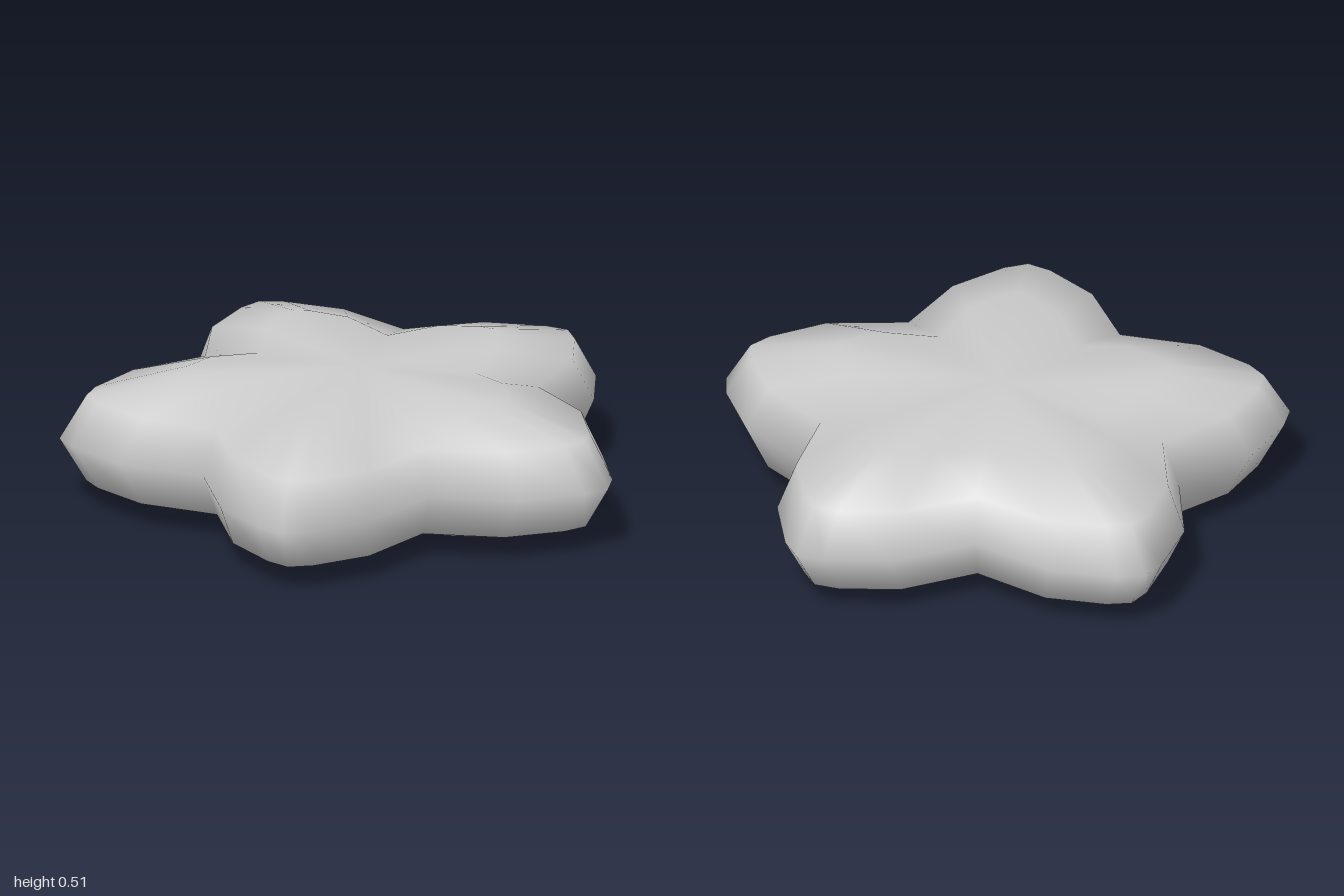
import * as THREE from 'three';

const CENTER_X = -0.095, MID_Y = 0.26, ARMS = 5;

// One arm of the outline: angle from the arm's axis (degrees) and radius
const ARM = [[-17.7, 0.895], [-5.1, 1.014], [0, 1.05], [5.1, 1.014], [17.7, 0.895], [36, 0.7]];

// Rings from top to bottom: outline scale, height off the mid plane at tips and at notches
const RINGS = [
  [0.59, 0.242, 0.215],
  [0.91, 0.16, 0.158],
  [1, 0, 0],
  [0.91, -0.16, -0.158],
  [0.59, -0.242, -0.215],
];

function starCushionGeometry() {
  const pos = [], index = [], n = ARMS * ARM.length;

  for (const [scale, tipY, notchY] of RINGS) {
    for (let arm = 0; arm < ARMS; arm++) {
      for (const [deg, r] of ARM) {
        const a = THREE.MathUtils.degToRad(arm * 360 / ARMS + deg);
        const t = Math.min(1, (r - 0.7) / 0.25);
        pos.push(
          CENTER_X + Math.cos(a) * r * scale,
          MID_Y + THREE.MathUtils.lerp(notchY, tipY, t),
          Math.sin(a) * r * scale);
      }
    }
  }

  // Centre points of the top and the underside
  const top = pos.length / 3, bottom = top + 1;
  pos.push(CENTER_X, MID_Y + 0.254, 0, CENTER_X, MID_Y - 0.254, 0);

  const last = (RINGS.length - 1) * n;
  for (let i = 0; i < n; i++) {
    const j = (i + 1) % n;
    index.push(top, j, i, bottom, last + i, last + j);
    for (let k = 0; k < last; k += n) {
      index.push(k + i, k + j, k + n + i, k + j, k + n + j, k + n + i);
    }
  }

  const geo = new THREE.BufferGeometry();
  geo.setAttribute('position', new THREE.Float32BufferAttribute(pos, 3));
  geo.setIndex(index);
  geo.computeVertexNormals();
  return geo;
}

export function createModel() {
  const group = new THREE.Group();
  group.name = 'star';
  const body = new THREE.Mesh(
    starCushionGeometry(),
    new THREE.MeshStandardMaterial({ color: 0xcccccc }));
  body.name = 'starBody';
  group.add(body);
  return group;
}
